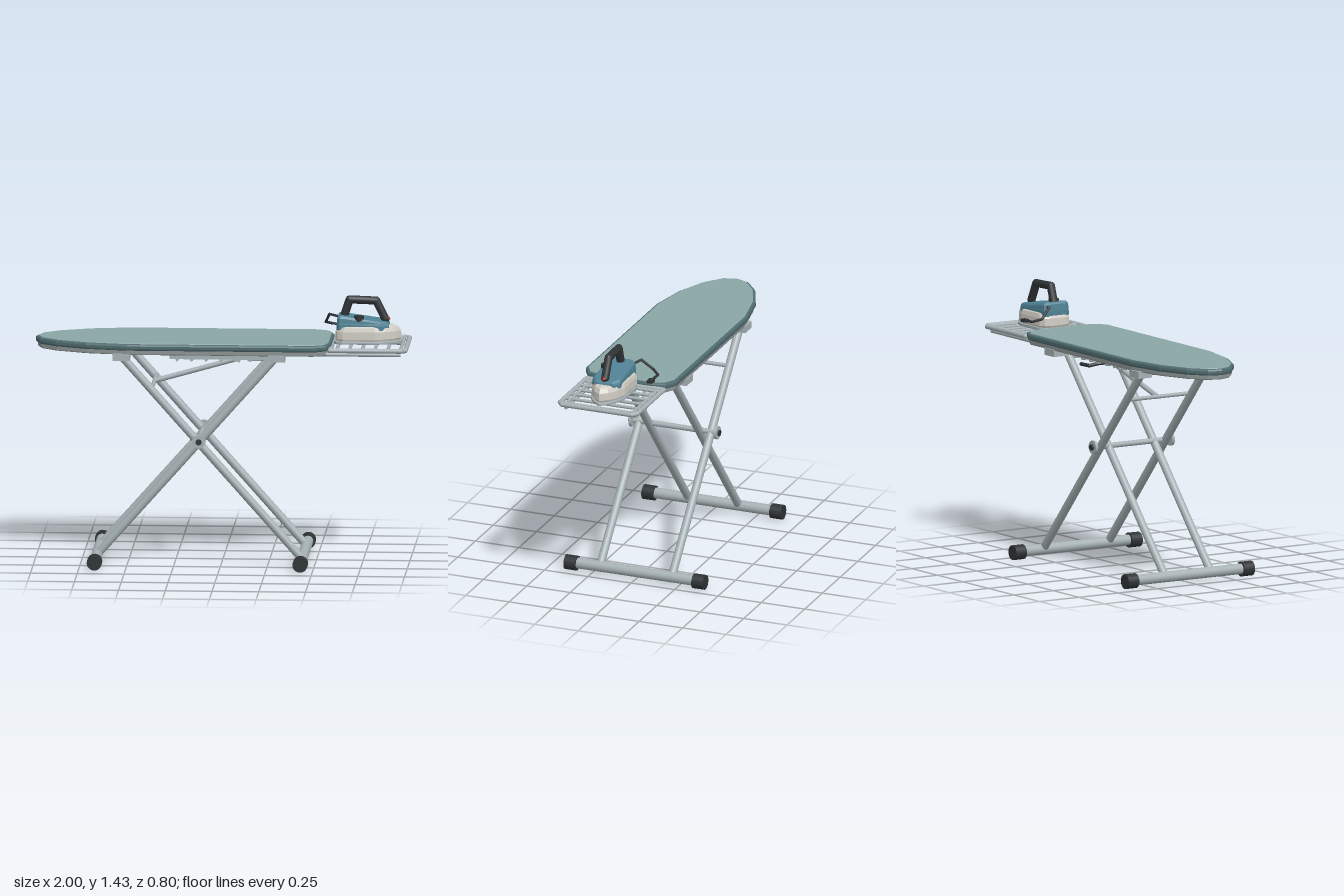
import * as THREE from 'three';

const paint = (color, extra = {}) => new THREE.MeshStandardMaterial({ color, ...extra });
const metal = paint(0xa6b1b4), dark = paint(0x2f3335), cover = paint(0x8aa6a6);
const trim = paint(0x506c70), under = paint(0x8b9293), red = paint(0xc0392b);
const cream = paint(0xcfccc4, { flatShading: true }), teal = paint(0x4f8294, { flatShading: true });
const V = (p) => new THREE.Vector3(...p);

export function createModel() {
  const model = new THREE.Group();
  model.name = 'ironingBoardWithIron';

  const group = (name, parent = model) => {
    const g = new THREE.Group();
    g.name = name;
    parent.add(g);
    return g;
  };
  const add = (parent, name, geometry, material) => {
    const m = new THREE.Mesh(geometry, material);
    m.name = name;
    parent.add(m);
    return m;
  };
  const box = (parent, name, size, pos, material) => {
    const m = add(parent, name, new THREE.BoxGeometry(...size), material);
    m.position.set(...pos);
    return m;
  };
  // Round bar between two points
  const rod = (parent, name, a, b, r, material = metal, sides = 16) => {
    const from = V(a), to = V(b), dir = to.clone().sub(from);
    const m = add(parent, name, new THREE.CylinderGeometry(r, r, dir.length(), sides), material);
    m.position.copy(from).add(to).multiplyScalar(0.5);
    m.quaternion.setFromUnitVectors(new THREE.Vector3(0, 1, 0), dir.normalize());
    return m;
  };
  // Chain of bars with ball joints
  const chain = (parent, name, pts, r, material) => {
    pts.forEach((p, i) => {
      if (i) rod(parent, name, pts[i - 1], p, r, material, 12);
      add(parent, name + 'Joint', new THREE.SphereGeometry(r, 12, 8), material).position.set(...p);
    });
  };
  // Mirror a half outline [x, z] across z = 0
  const mirror = (half) => [...half, ...half.filter((p) => p[1] > 0).reverse().map(([x, z]) => [x, -z])];
  // Horizontal slab with bevelled edges, between two heights
  const slab = (parent, name, half, y0, y1, inset, bevel, material) => {
    const shape = new THREE.Shape(mirror(half).map((p) => new THREE.Vector2(...p)));
    const geo = new THREE.ExtrudeGeometry(shape, {
      depth: y1 - y0 - 2 * bevel, bevelEnabled: true, bevelThickness: bevel,
      bevelSize: bevel, bevelOffset: -inset - bevel, bevelSegments: 2,
    });
    geo.rotateX(Math.PI / 2);
    geo.translate(0, y1 - bevel, 0);
    return add(parent, name, geo, material);
  };
  // Stacked copies of an outline; levels are [y, scaleX, scaleZ, drop towards the nose]
  const loft = (parent, name, half, levels, cx, material) => {
    const ring = mirror(half), n = ring.length, pos = [];
    const rings = levels.map(([y, sx, sz, drop = 0]) => ring.map(([x, z]) =>
      [cx + (x - cx) * sx, y - drop * (x - cx), z * sz]));
    const tri = (...ps) => ps.forEach((p) => pos.push(...p));
    for (let i = 0; i < n; i++) {
      const j = (i + 1) % n;
      for (let k = 0; k + 1 < rings.length; k++) {
        const a = rings[k], b = rings[k + 1];
        tri(a[i], a[j], b[j]);
        tri(a[i], b[j], b[i]);
      }
      const last = rings.length - 1;
      tri([cx, levels[last][0], 0], rings[last][i], rings[last][j]);
      tri([cx, levels[0][0], 0], rings[0][j], rings[0][i]);
    }
    const geo = new THREE.BufferGeometry();
    geo.setAttribute('position', new THREE.Float32BufferAttribute(pos, 3));
    geo.computeVertexNormals();
    return add(parent, name, geo, material);
  };

  // Board: base plate, dark edge, padded cover
  const board = group('board');
  const outline = [[-1, 0], [-0.975, 0.075], [-0.885, 0.15], [-0.72, 0.22], [-0.5, 0.262],
    [0.5, 0.262], [0.565, 0.225], [0.588, 0.15]];
  slab(board, 'basePlate', outline, 1.143, 1.172, 0.012, 0.005, under);
  slab(board, 'coverEdge', outline, 1.167, 1.202, 0, 0.011, trim);
  slab(board, 'cover', outline, 1.18, 1.206, 0.014, 0.004, cover);

  // Crossed leg pairs with feet; the mirrored pair sits outside the other
  const legs = group('legs');
  const pivotX = -0.115;
  for (const [name, dir, z] of [['innerLegs', -1, 0.145], ['outerLegs', 1, 0.207]]) {
    const pair = group(name, legs);
    const footX = pivotX + dir * 0.55, topX = pivotX - dir * 0.415;
    for (const s of [-1, 1]) {
      rod(pair, 'leg', [footX, 0.042, s * z], [topX, 1.13, s * z], 0.022);
      rod(pair, 'footCap', [footX, 0.04, s * 0.335], [footX, 0.04, s * 0.402], 0.04, dark, 20);
      box(pair, 'topBracket', [0.09, 0.038, 0.085], [topX, 1.13, s * 0.213], metal);
    }
    rod(pair, 'footBar', [footX, 0.042, -0.36], [footX, 0.042, 0.36], 0.029);
    rod(pair, 'topBar', [topX, 1.13, -0.25], [topX, 1.13, 0.25], 0.015);
  }

  // Pivot axle with washers and bolts
  const pivot = group('pivot');
  rod(pivot, 'axle', [pivotX, 0.675, -0.25], [pivotX, 0.675, 0.25], 0.015);
  for (const s of [-1, 1]) {
    rod(pivot, 'washer', [pivotX, 0.675, s * 0.237], [pivotX, 0.675, s * 0.252], 0.036, metal, 20);
    rod(pivot, 'bolt', [pivotX, 0.675, s * 0.25], [pivotX, 0.675, s * 0.262], 0.016, dark);
  }

  // Height adjustment: ladder rack, strut and lever
  const adjuster = group('heightAdjuster');
  for (const s of [-1, 1]) {
    box(adjuster, 'rackRail', [0.6, 0.03, 0.018], [0.02, 1.11, s * 0.08], metal);
    for (const x of [-0.24, 0.28]) box(adjuster, 'rackMount', [0.03, 0.03, 0.018], [x, 1.13, s * 0.08], metal);
  }
  for (let i = 0; i < 8; i++) {
    const x = -0.24 + i * 0.078;
    rod(adjuster, 'rackRung', [x, 1.092, -0.095], [x, 1.092, 0.095], 0.008, metal, 10);
  }
  rod(adjuster, 'strutBar', [-0.365, 0.962, -0.195], [-0.365, 0.962, 0.195], 0.011);
  rod(adjuster, 'strut', [-0.365, 0.962, 0], [0.09, 1.09, 0], 0.014);
  rod(adjuster, 'strutCatch', [0.09, 1.09, -0.09], [0.09, 1.09, 0.09], 0.009);
  chain(adjuster, 'lever', [[0.06, 1.09, 0], [0.12, 1.078, -0.06], [0.14, 1.067, -0.105], [0.21, 1.067, -0.11]], 0.01, dark);

  // Wire iron rest
  const rest = group('ironRest');
  const frame = [[0.585, 0.222], [0.96, 0.222], [0.987, 0.2]];
  const loop = mirror(frame);
  chain(rest, 'frame', [...loop, loop[0]].map(([x, z]) => [x, 1.173, z]), 0.013, metal);
  for (let i = 0; i < 6; i++) {
    const x = 0.62 + i * 0.068;
    rod(rest, 'crossWire', [x, 1.173, -0.22], [x, 1.173, 0.22], 0.009, metal, 10);
  }
  for (const s of [-1, 1]) {
    rod(rest, 'supportRail', [0.43, 1.147, s * 0.19], [0.96, 1.147, s * 0.19], 0.011);
    rod(rest, 'longWire', [0.59, 1.168, s * 0.19], [0.985, 1.168, s * 0.19], 0.009, metal, 10);
  }

  // Iron: soleplate, shell, upper housing
  const iron = group('iron');
  const hull = [[0.597, 0.055], [0.61, 0.08], [0.64, 0.096], [0.82, 0.098], [0.885, 0.075], [0.935, 0.04], [0.963, 0]];
  slab(iron, 'soleplate', hull, 1.184, 1.2, 0, 0.003, metal);
  loft(iron, 'lowerShell', hull, [[1.198, 0.92, 0.93], [1.21, 0.96, 0.97], [1.25, 0.95, 0.96],
    [1.272, 0.88, 0.9], [1.28, 0.8, 0.8]], 0.76, cream);
  const housing = [[0.612, 0.06], [0.625, 0.08], [0.85, 0.082], [0.89, 0.055]];
  loft(iron, 'upperHousing', housing, [[1.258, 1, 1], [1.285, 1, 0.99, 0.03], [1.306, 0.98, 0.95, 0.12],
    [1.316, 0.93, 0.84, 0.13]], 0.755, teal);

  // Handle, dial and lamp
  chain(iron, 'handle', [[0.645, 1.315, 0], [0.678, 1.413, 0], [0.82, 1.408, 0], [0.868, 1.31, 0]], 0.022, dark);
  rod(iron, 'dial', [0.73, 1.305, 0.052], [0.73, 1.333, 0.052], 0.027, dark, 20);
  add(iron, 'lamp', new THREE.SphereGeometry(0.01, 12, 8), red).position.set(0.885, 1.312, 0);

  // Cord and plug
  chain(iron, 'cord', [[0.615, 1.31, -0.06], [0.565, 1.318, -0.085], [0.542, 1.265, -0.145],
    [0.575, 1.25, -0.185], [0.64, 1.245, -0.178]], 0.007, dark);
  box(iron, 'plug', [0.04, 0.016, 0.03], [0.66, 1.245, -0.178], dark);

  return model;
}
